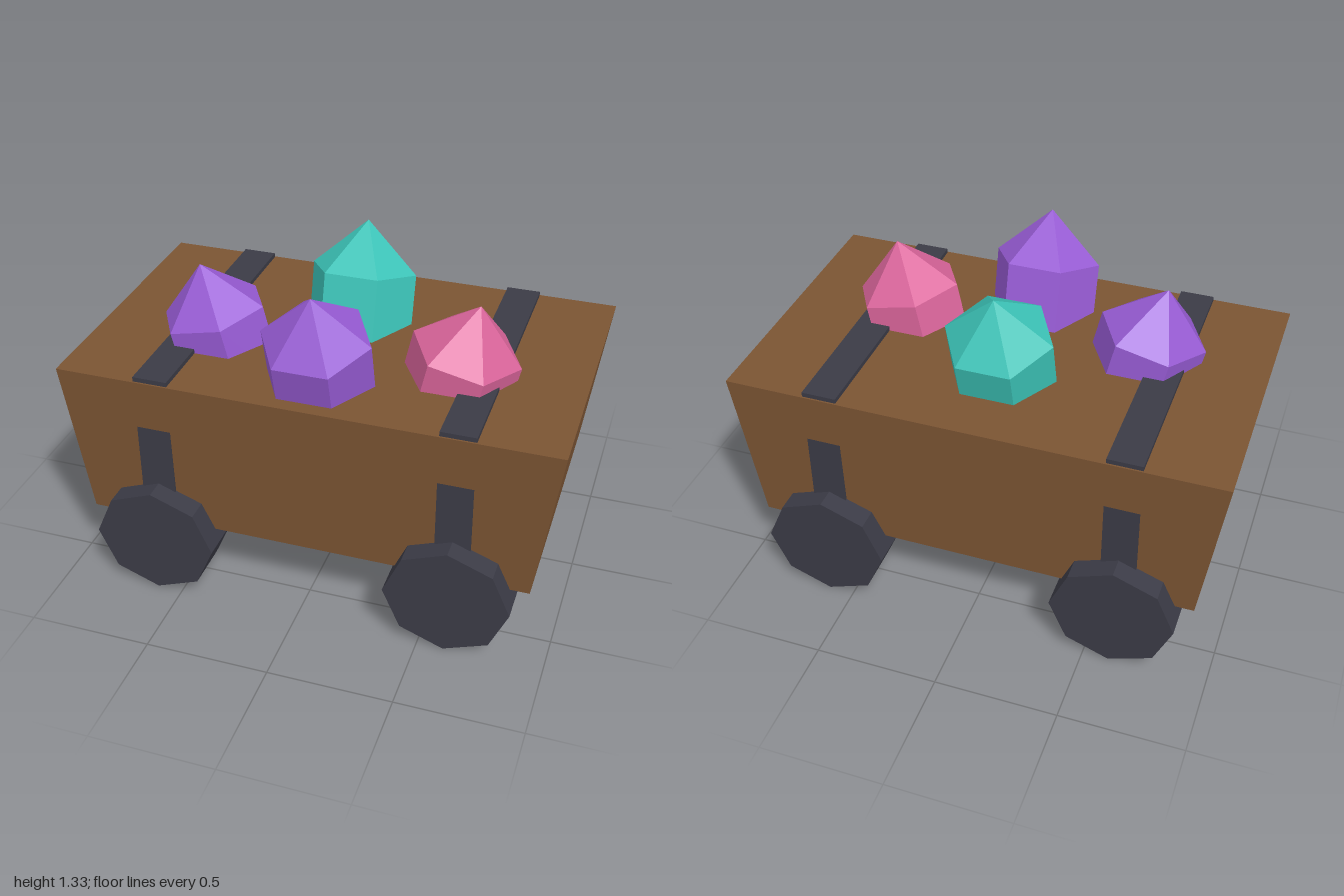
import * as THREE from 'three';

const colour = (name, hex) => {
  const m = new THREE.MeshStandardMaterial({ color: hex });
  m.name = name;
  return m;
};

// Faceted normals: every face gets its own corners
const faceted = (geometry) => {
  const g = geometry.toNonIndexed();
  g.computeVertexNormals();
  return g;
};

export function createModel() {
  const wood = colour('wood brown', 0x7b5433);
  const iron = colour('dark iron', 0x3b3b46);
  const purple = colour('purple crystal', 0x975bd4);
  const teal = colour('teal crystal', 0x3cc4b8);
  const pink = colour('pink crystal', 0xd9649a);

  const cart = new THREE.Group();
  cart.name = 'crystalCart';
  const add = (name, geometry, material, x, y, z) => {
    const mesh = new THREE.Mesh(geometry, material);
    mesh.name = name;
    mesh.position.set(x, y, z);
    cart.add(mesh);
    return mesh;
  };

  // Cart body, narrower at the bottom
  const bottom = 0.285, top = 0.937;
  const body = new THREE.BoxGeometry(2, top - bottom, 1.184);
  const p = body.attributes.position;
  for (let i = 0; i < p.count; i++) {
    if (p.getY(i) < 0) {
      p.setX(i, p.getX(i) * 0.91);
      p.setZ(i, p.getZ(i) * 0.963);
    }
  }
  add('body', faceted(body), wood, 0, (bottom + top) / 2, 0);

  // Iron straps and wheels
  const strap = new THREE.BoxGeometry(0.14, 0.669, 1.17);
  const wheel = new THREE.CylinderGeometry(0.25, 0.25, 0.204, 8);
  wheel.rotateX(Math.PI / 2);
  wheel.scale(1, 0.932, 1);
  const wheelGeometry = faceted(wheel);
  for (const side of [-1, 1]) {
    const sideName = side > 0 ? 'left' : 'right';
    add(sideName + 'Strap', strap, iron, side * 0.605, 0.6215, 0);
    for (const end of [-1, 1]) {
      const endName = end > 0 ? 'Front' : 'Back';
      add(sideName + endName + 'Wheel', wheelGeometry, iron, side * 0.605, 0.237, end * 0.565);
    }
  }

  // Six-sided crystals, with the origin at the rim below the point
  const crystal = (name, material, x, y, z, tiltX, tiltZ, height) => {
    const profile = [[0, -0.34], [0.22, -0.34], [0.22, 0], [0, height]]
      .map(([r, h]) => new THREE.Vector2(r, h));
    const g = new THREE.LatheGeometry(profile, 6);
    g.rotateY(Math.PI / 2);
    add(name, faceted(g), material, x, y, z).rotation.set(tiltX, 0, tiltZ);
  };
  crystal('frontCrystal', purple, 0, 1.135, 0.388, 0.26, 0, 0.202);
  crystal('backCrystal', teal, 0, 1.135, -0.229, -0.26, 0, 0.202);
  crystal('rightCrystal', purple, -0.525, 1.04, 0.13, 0.04, 0.22, 0.205);
  crystal('leftCrystal', pink, 0.525, 1.04, 0.13, 0.04, -0.22, 0.205);

  return cart;
}
